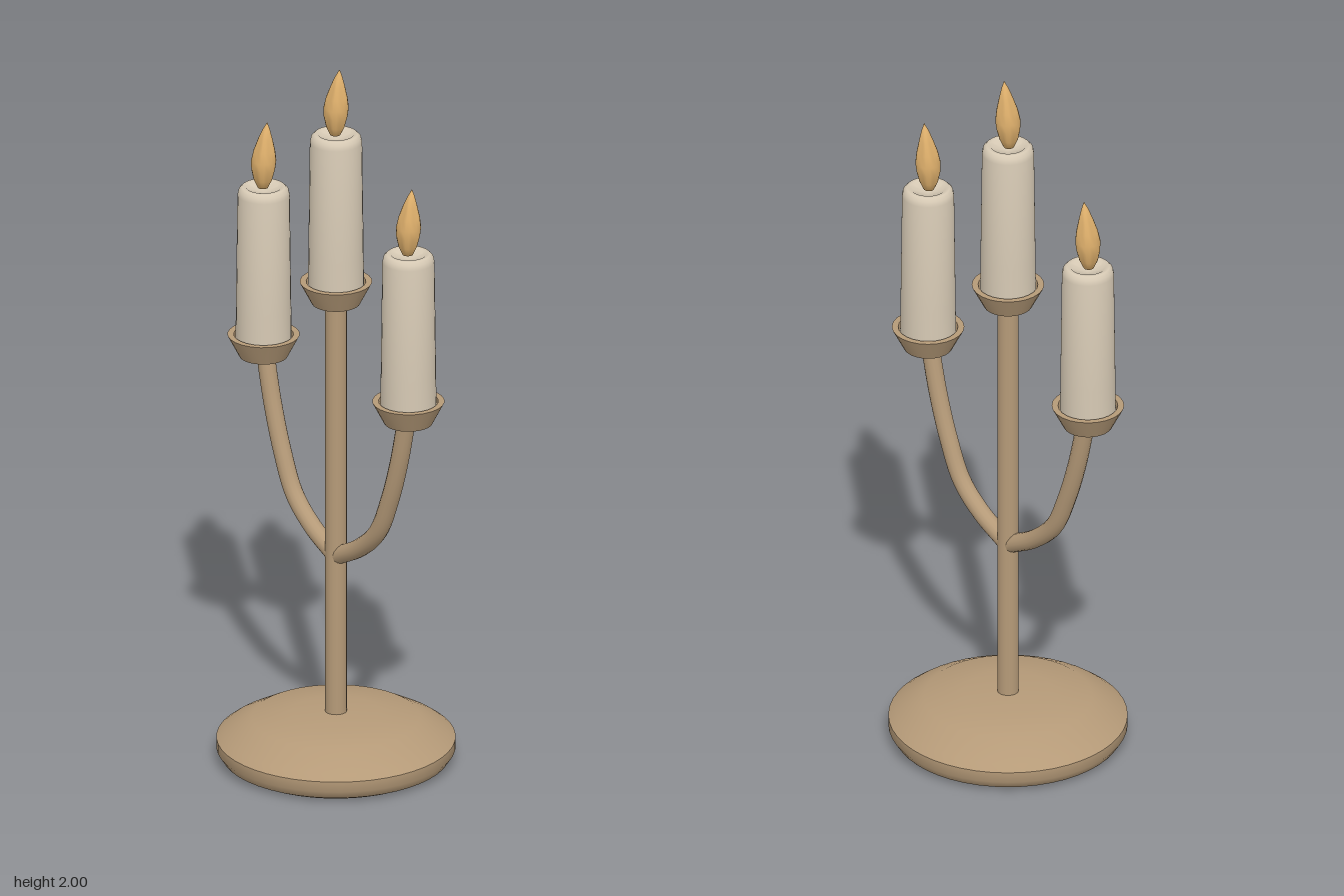
import * as THREE from 'three';
import { toCreasedNormals } from 'three/addons/utils/BufferGeometryUtils.js';

const mat = (name, color) => {
  const m = new THREE.MeshStandardMaterial({ color });
  m.name = name;
  return m;
};

// Turned part from [radius, height] pairs, listed bottom to top
function turned(profile, sides, crease = 0.7) {
  const pts = profile.map(([r, y]) => new THREE.Vector2(r, y));
  return toCreasedNormals(new THREE.LatheGeometry(pts, sides), crease);
}

export function createModel() {
  const brass = mat('tan metal', 0xb59a78);
  const wax = mat('cream wax', 0xd6c9b4);
  const fire = mat('amber flame', 0xdfb06c);

  const model = new THREE.Group();
  model.name = 'candelabra';
  const add = (name, geometry, material, parent = model) => {
    const mesh = new THREE.Mesh(geometry, material);
    mesh.name = name;
    parent.add(mesh);
    return mesh;
  };

  // Domed foot
  add('base', turned([[0, 0], [0.28, 0], [0.305, 0.012], [0.32, 0.035], [0.32, 0.064],
    [0.3, 0.079], [0.225, 0.12], [0.12, 0.132], [0, 0.14]], 48), brass);

  // Central stem
  const stem = add('stem', new THREE.CylinderGeometry(0.029, 0.029, 1.24, 20), brass);
  stem.position.y = 0.71;

  // Curved side arms
  for (const side of [-1, 1]) {
    const path = new THREE.CatmullRomCurve3(
      [[0.01, 0.592], [0.1, 0.642], [0.175, 0.712], [0.225, 0.82], [0.265, 0.945], [0.298, 1.09]]
        .map(([x, y]) => new THREE.Vector3(side * x, y, 0)));
    add(side > 0 ? 'leftArm' : 'rightArm', new THREE.TubeGeometry(path, 32, 0.025, 14), brass);
  }

  // Shared cup, candle and flame shapes, measured from the cup's underside
  const cupGeo = turned([[0, 0], [0.065, 0], [0.097, 0.062], [0.08, 0.062], [0.076, 0.045], [0, 0.045]], 24);
  const candleGeo = turned([[0.075, 0.045], [0.074, 0.14], [0.07, 0.466], [0.067, 0.48], [0.058, 0.489],
    [0.048, 0.489], [0.04, 0.482], [0, 0.472]], 28, 0.9);
  const flameGeo = turned([[0, 0], [0.014, 0.006], [0.025, 0.03], [0.032, 0.06], [0.034, 0.085],
    [0.029, 0.115], [0.019, 0.15], [0.009, 0.18], [0, 0.2]], 20, 1.2);

  // Lean the flame tip to one side
  const p = flameGeo.attributes.position;
  for (let i = 0; i < p.count; i++) {
    const t = p.getY(i) / 0.2;
    p.setX(i, p.getX(i) - 0.003 + 0.018 * t * t);
  }

  // Three candle holders
  for (const [name, x, y] of [['centre', 0, 1.32], ['left', 0.303, 1.07], ['right', -0.303, 1.07]]) {
    const holder = new THREE.Group();
    holder.name = name + 'Holder';
    holder.position.set(x, y, 0);
    add('cup', cupGeo, brass, holder);
    add('candle', candleGeo, wax, holder);
    add('flame', flameGeo, fire, holder).position.y = 0.48;
    model.add(holder);
  }
  return model;
}
